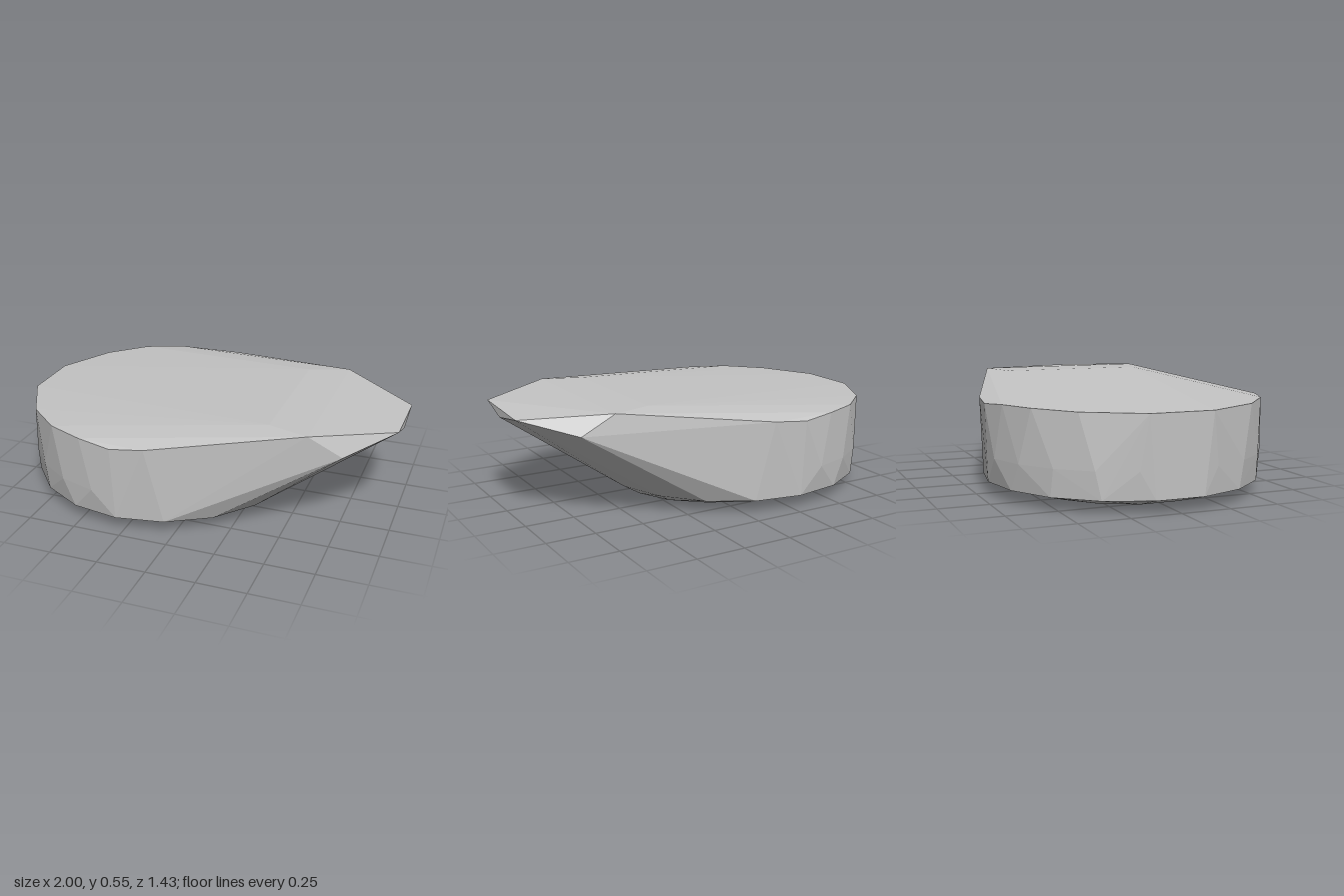
import * as THREE from 'three';
import { ConvexGeometry } from 'three/addons/geometries/ConvexGeometry.js';

export function createModel() {
  const group = new THREE.Group();
  const stone = new THREE.MeshStandardMaterial({ color: 0xc4c4c4, flatShading: true });
  stone.name = 'pale stone grey';

  const points = [];
  const add = (x, y, z) => points.push(new THREE.Vector3(x, y, z));
  const mirrored = (x, y, z) => { add(x, y, z); add(x, y, -z); };

  // Oval underside and the wider bevel ring just above it
  const ring = (cx, y, rx, rz, sides) => {
    for (let i = 0; i < sides; i++) {
      const a = (i + 0.5) / sides * Math.PI * 2;
      add(cx + Math.cos(a) * rx, y, Math.sin(a) * rz);
    }
  };
  ring(-0.23, 0, 0.545, 0.48, 16);
  ring(-0.29, 0.065, 0.71, 0.7, 18);

  // Faint bulge low on the rounded rear wall
  [100, 116, 132, 148, 164].forEach((deg) => {
    const a = THREE.MathUtils.degToRad(deg);
    mirrored(-0.29 + Math.cos(a) * 0.713, 0.2, Math.sin(a) * 0.713);
  });

  // Rounded rear of the upper rim, then the taper towards the raised tip
  [
    [-1, 0.46, 0.16], [-0.85, 0.462, 0.44], [-0.67, 0.466, 0.6],
    [-0.48, 0.465, 0.68], [-0.3, 0.452, 0.715], [-0.13, 0.465, 0.695],
    [0.4, 0.545, 0.38], [0.61, 0.547, 0.45],
  ].forEach((p) => mirrored(...p));

  // Slightly uneven chipped tip
  add(0.77, 0.43, 0.385);
  add(0.77, 0.445, -0.41);
  add(1, 0.525, 0.21);
  add(1, 0.505, -0.18);
  add(1, 0.472, 0.04);

  const body = new THREE.Mesh(new ConvexGeometry(points), stone);
  body.name = 'stoneSlab';
  group.add(body);
  return group;
}
